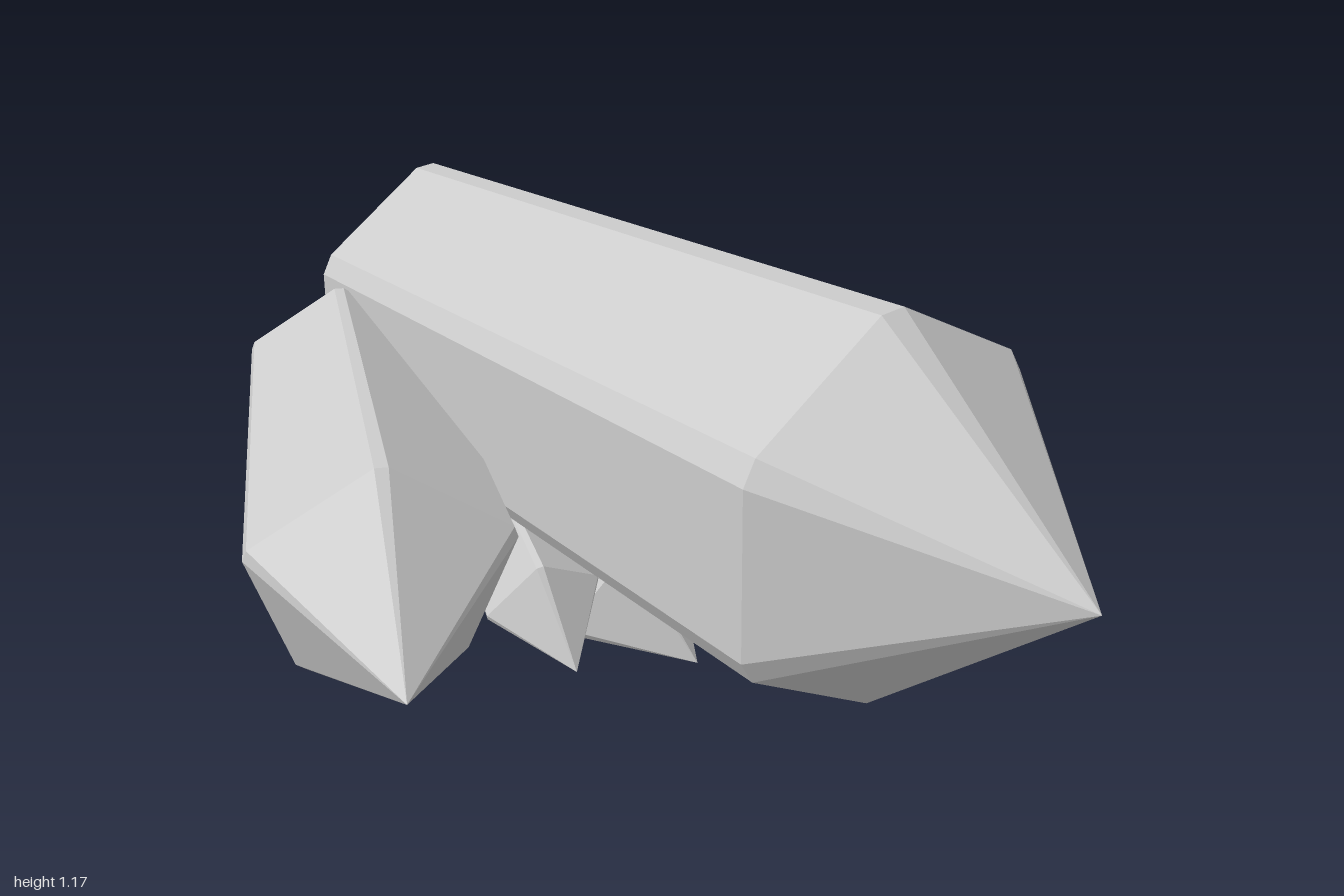
import * as THREE from 'three';

const material = new THREE.MeshStandardMaterial({ color: 0xcccccc, flatShading: true });

// Crystal along local +z: narrow base, wide shoulder at z = 0, pointed tip.
// Every corner of the cross-section is cut by a narrow bevel.
function crystalGeometry({ sides, radius, taper, body, tip, bevel }) {
  const ring = (r, z) => {
    const points = [];
    for (let i = 0; i < sides; i++) {
      for (const s of [-1, 1]) {
        const a = (i / sides) * Math.PI * 2 + s * bevel;
        points.push([r * Math.cos(a), r * Math.sin(a), z]);
      }
    }
    return points;
  };
  const base = ring(radius * taper, -body);
  const shoulder = ring(radius, 0);
  const apex = [0, 0, tip];
  const foot = [0, 0, -body];
  const positions = [];
  const tri = (...corners) => corners.forEach((p) => positions.push(...p));
  for (let i = 0; i < base.length; i++) {
    const j = (i + 1) % base.length;
    tri(base[i], base[j], shoulder[j]);
    tri(base[i], shoulder[j], shoulder[i]);
    tri(shoulder[i], shoulder[j], apex);
    tri(foot, base[j], base[i]);
  }
  const geometry = new THREE.BufferGeometry();
  geometry.setAttribute('position', new THREE.Float32BufferAttribute(positions, 3));
  geometry.computeVertexNormals();
  return geometry;
}

// Places a crystal by its shoulder centre, growth axis and the direction of one corner.
function addCrystal(group, { name, center, axis, corner, ...shape }) {
  const z = new THREE.Vector3(...axis).normalize();
  const x = new THREE.Vector3(...corner);
  x.addScaledVector(z, -x.dot(z)).normalize();
  const y = new THREE.Vector3().crossVectors(z, x);
  const mesh = new THREE.Mesh(crystalGeometry(shape), material);
  mesh.name = name;
  mesh.quaternion.setFromRotationMatrix(new THREE.Matrix4().makeBasis(x, y, z));
  mesh.position.set(...center);
  group.add(mesh);
}

export function createModel() {
  const group = new THREE.Group();
  group.name = 'crystalCluster';

  const sideShape = { sides: 5, radius: 0.285, taper: 0.7, body: 0.715, tip: 0.365, bevel: 0.05 };
  const crystals = [
    // large central crystal
    { name: 'mainCrystal', center: [0.06, 0.75, 0.47], axis: [0, 0, 1], corner: [0, 1, 0],
      sides: 6, radius: 0.421, taper: 0.765, body: 1.425, tip: 0.53, bevel: 0.072 },
    // medium crystals on both sides
    { name: 'leftCrystal', center: [0.568, 0.308, -0.3], axis: [0.46, -0.31, 0.83],
      corner: [0.12, 0.25, 0.03], ...sideShape },
    { name: 'rightCrystal', center: [-0.579, 0.534, -0.3], axis: [-0.48, -0.23, 0.847],
      corner: [-0.02, 0.276, 0.05], ...sideShape },
    // small crystals underneath
    { name: 'lowerLeftCrystal', center: [0.18, 0.15, -0.45], axis: [0.15, -0.47, 0.87],
      corner: [0.045, -0.148, -0.083],
      sides: 4, radius: 0.175, taper: 0.7, body: 0.45, tip: 0.255, bevel: 0.06 },
    { name: 'lowerMiddleCrystal', center: [-0.12, 0.28, -0.36], axis: [-0.25, -0.47, 0.85],
      corner: [0.04, -0.1, -0.044],
      sides: 4, radius: 0.13, taper: 0.7, body: 0.5, tip: 0.2, bevel: 0.06 },
    { name: 'lowerRightCrystal', center: [-0.26, 0.33, -0.68], axis: [-0.52, -0.42, 0.75],
      corner: [0, 1, 0.4],
      sides: 4, radius: 0.1, taper: 0.7, body: 0.35, tip: 0.17, bevel: 0.06 },
  ];
  crystals.forEach((crystal) => addCrystal(group, crystal));
  return group;
}
